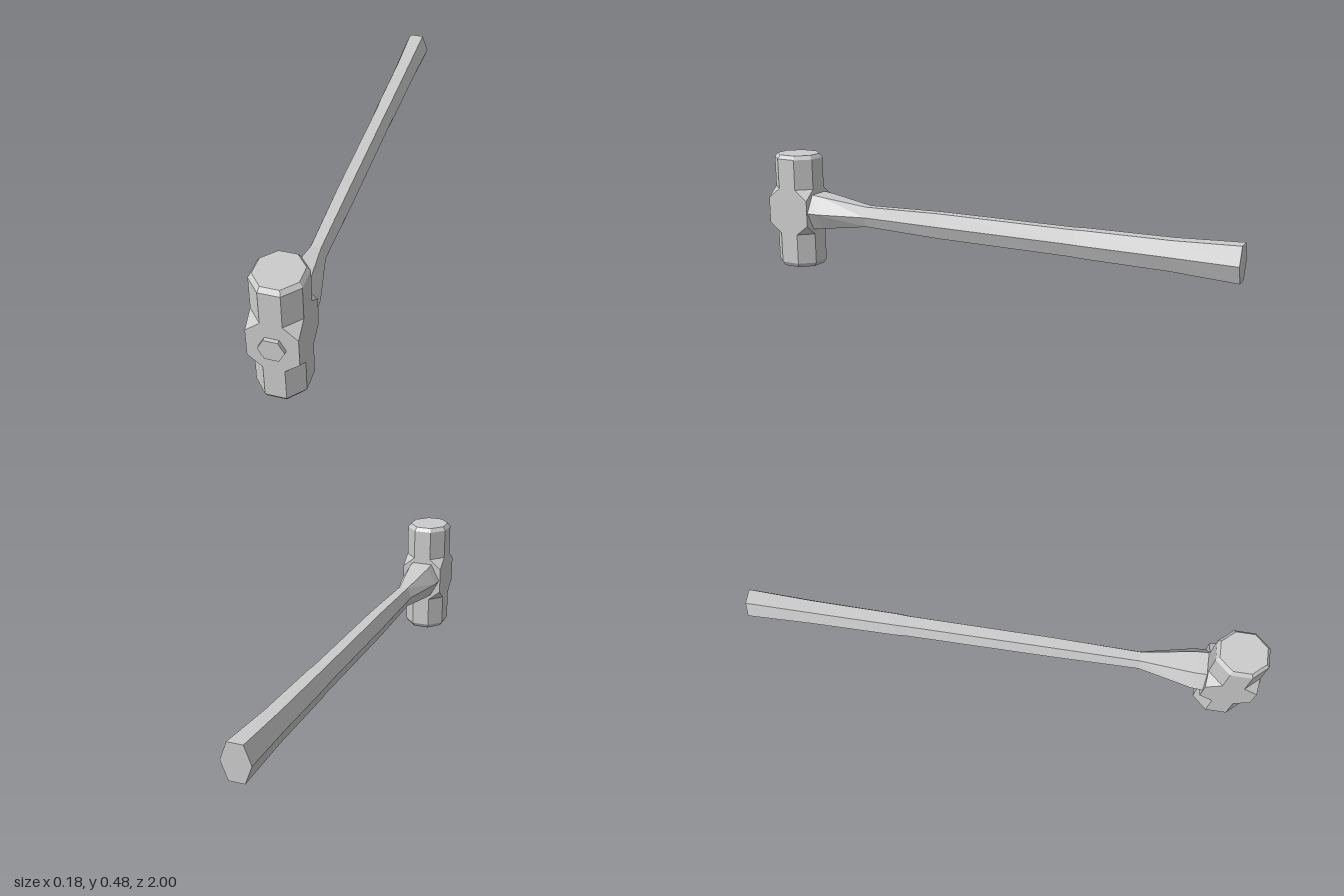
import * as THREE from 'three';

const material = new THREE.MeshStandardMaterial({ color: 0xcccccc, flatShading: true });

// Skin a list of equal-length rings (counterclockwise about the loft direction) and cap both ends.
function loft(name, rings) {
  const pos = [];
  const tri = (a, b, c) => {
    const area = new THREE.Vector3().subVectors(b, a).cross(new THREE.Vector3().subVectors(c, a)).length();
    if (area > 1e-9) [a, b, c].forEach((p) => pos.push(p.x, p.y, p.z));
  };
  const n = rings[0].length;
  for (let i = 0; i < rings.length - 1; i++) {
    for (let j = 0; j < n; j++) {
      const k = (j + 1) % n;
      tri(rings[i][j], rings[i][k], rings[i + 1][k]);
      tri(rings[i][j], rings[i + 1][k], rings[i + 1][j]);
    }
  }
  const first = rings[0], last = rings[rings.length - 1];
  for (let j = 1; j < n - 1; j++) {
    tri(first[0], first[j + 1], first[j]);
    tri(last[0], last[j], last[j + 1]);
  }
  const geometry = new THREE.BufferGeometry();
  geometry.setAttribute('position', new THREE.Float32BufferAttribute(pos, 3));
  geometry.computeVertexNormals();
  const mesh = new THREE.Mesh(geometry, material);
  mesh.name = name;
  return mesh;
}

// Head section: half sizes w and d, with flats of half length fw and fd between cut corners.
function headRing(y, w, d, fw, fd) {
  const z = 0.889;
  return [
    [w, fd], [w, -fd], [fw, -d], [-fw, -d],
    [-w, -fd], [-w, fd], [-fw, d], [fw, d],
  ].map(([px, pz]) => new THREE.Vector3(px, y, z + pz));
}

// Handle section: a hexagon with points at the sides and flats above and below.
function handleRing(z, rx, ry, cy = 0.242) {
  return [[1, 0], [0.53, 1], [-0.53, 1], [-1, 0], [-0.53, -1], [0.53, -1]]
    .map(([px, py]) => new THREE.Vector3(px * rx, cy + py * ry, z));
}

export function createModel() {
  const group = new THREE.Group();
  group.name = 'sledgehammer';

  // Head: bevelled octagonal ends swelling to a square-cornered middle
  const W = 0.088, D = 0.097;
  const bevel = (y) => headRing(y, 0.077, 0.085, 0.032, 0.035);
  const octagon = (y) => headRing(y, W, D, 0.037, 0.041);
  const square = (y) => headRing(y, W, D, W, D);
  group.add(loft('head', [
    bevel(0), octagon(0.018), octagon(0.145), square(0.188),
    square(0.295), octagon(0.338), octagon(0.465), bevel(0.481),
  ]));

  // Handle: flared grip, slim shaft, and a wide shoulder behind the head
  group.add(loft('handle', [
    handleRing(-1, 0.055, 0.068),
    handleRing(-0.75, 0.048, 0.057),
    handleRing(-0.41, 0.045, 0.054),
    handleRing(-0.37, 0.042, 0.052),
    handleRing(0.2, 0.04, 0.051),
    handleRing(0.54, 0.035, 0.042),
    handleRing(0.745, 0.081, 0.068),
    handleRing(0.8, 0.084, 0.074),
  ]));

  // End of the handle showing through the front of the head
  group.add(loft('handleTip', [
    handleRing(0.95, 0.046, 0.04, 0.241),
    handleRing(1, 0.046, 0.04, 0.241),
  ]));
  return group;
}
